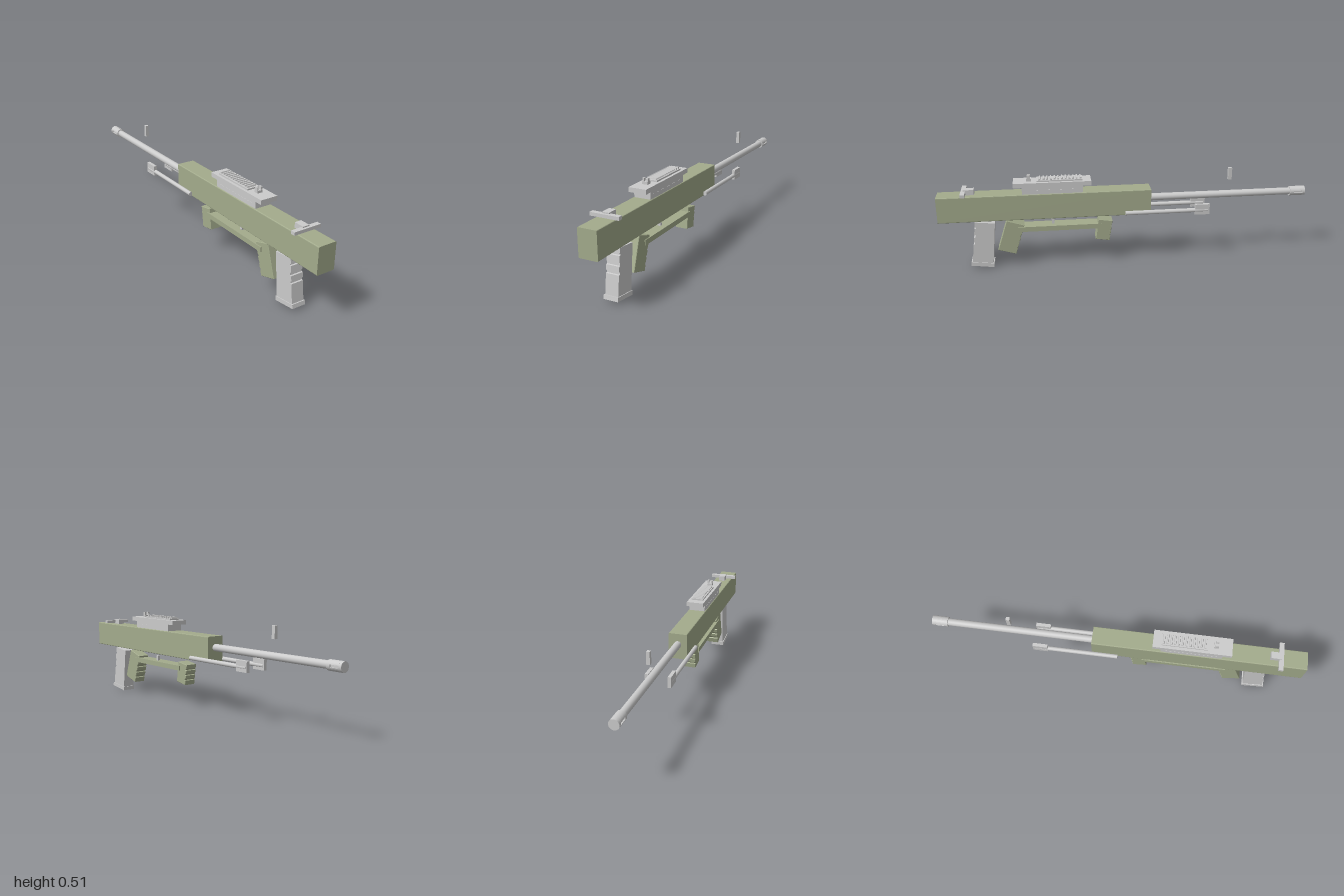
import * as THREE from 'three';

const grey = new THREE.MeshStandardMaterial({ color: 0xcccccc, flatShading: true });
const green = new THREE.MeshStandardMaterial({ color: 0xa3ab8c, flatShading: true });
const smoothGrey = new THREE.MeshStandardMaterial({ color: 0xcccccc });

export function createModel() {
  const model = new THREE.Group();

  function add(name, geometry, material, parent = model) {
    const mesh = new THREE.Mesh(geometry, material);
    mesh.name = name;
    parent.add(mesh);
    return mesh;
  }
  function group(name) {
    const g = new THREE.Group();
    g.name = name;
    model.add(g);
    return g;
  }
  // Box given by its limits on each axis
  function box(name, [x0, x1], [y0, y1], [z0, z1], material, parent) {
    const mesh = add(name, new THREE.BoxGeometry(x1 - x0, y1 - y0, z1 - z0), material, parent);
    mesh.position.set((x0 + x1) / 2, (y0 + y1) / 2, (z0 + z1) / 2);
    return mesh;
  }
  // Side profile of (z, y) points, extruded symmetrically across x
  function profile(name, points, halfWidth, material, parent, bevel = 0) {
    const shape = new THREE.Shape(points.map(([z, y]) => new THREE.Vector2(z, y)));
    const depth = 2 * (halfWidth - bevel);
    const geometry = new THREE.ExtrudeGeometry(shape, {
      depth, bevelEnabled: bevel > 0, bevelSize: bevel, bevelThickness: bevel, bevelOffset: -bevel, bevelSegments: 1,
    });
    geometry.translate(0, 0, -depth / 2).rotateY(-Math.PI / 2);
    return add(name, geometry, material, parent);
  }
  // Cylinder along z
  function rod(name, radius, x, y, z0, z1, parent) {
    const geometry = new THREE.CylinderGeometry(radius, radius, z1 - z0, 24).rotateX(Math.PI / 2);
    const mesh = add(name, geometry, smoothGrey, parent);
    mesh.position.set(x, y, (z0 + z1) / 2);
    return mesh;
  }

  // Long receiver with softened lengthwise edges
  const section = new THREE.Shape();
  const w = 0.05, bottom = 0.274, top = 0.415, r = 0.005;
  section.moveTo(-w + r, bottom).lineTo(w - r, bottom).quadraticCurveTo(w, bottom, w, bottom + r);
  section.lineTo(w, top - r).quadraticCurveTo(w, top, w - r, top);
  section.lineTo(-w + r, top).quadraticCurveTo(-w, top, -w, top - r);
  section.lineTo(-w, bottom + r).quadraticCurveTo(-w, bottom, -w + r, bottom);
  const body = new THREE.ExtrudeGeometry(section, { depth: 1.13, bevelEnabled: false, curveSegments: 3 });
  add('receiver', body.translate(0, 0, -0.13), green);

  // Barrel and slotted muzzle
  const barrelY = 0.355;
  rod('barrel', 0.0195, 0, barrelY, -0.93, -0.12);
  const muzzle = group('muzzle');
  const R = 0.026;
  rod('muzzleTip', R, 0, barrelY, -1, -0.985, muzzle);
  rod('muzzleCollar', R, 0, barrelY, -0.935, -0.915, muzzle);
  const slotted = new THREE.Shape();
  const a = 0.24, inner = 0.018, h = R * Math.sin(a);
  slotted.absarc(0, 0, R, a, Math.PI - a, false);
  slotted.lineTo(-inner, h).lineTo(-inner, -h);
  slotted.absarc(0, 0, R, Math.PI + a, 2 * Math.PI - a, false);
  slotted.lineTo(inner, -h).lineTo(inner, h);
  const sleeve = new THREE.ExtrudeGeometry(slotted, { depth: 0.05, bevelEnabled: false, curveSegments: 12 });
  add('muzzleSleeve', sleeve, smoothGrey, muzzle).position.set(0, barrelY, -0.985);

  // Stepped top rail with cross ridges
  const rail = group('topRail');
  box('railFoot', [-0.046, 0.046], [0.405, 0.437], [0.26, 0.53], grey, rail);
  box('railBlock', [-0.045, 0.045], [0.415, 0.455], [0.235, 0.555], grey, rail);
  box('railPlate', [-0.048, 0.048], [0.453, 0.477], [0.19, 0.6], grey, rail);
  box('ridgeBase', [-0.033, 0.033], [0.476, 0.485], [0.235, 0.475], grey, rail);
  const ridges = 12;
  for (let i = 0; i < ridges; i++) {
    const z = 0.24 + i * 0.0195;
    profile('ridge', [[z, 0.484], [z + 0.011, 0.484], [z + 0.009, 0.493], [z + 0.002, 0.493]], 0.026, grey, rail);
  }

  // Notched rear sight and separate front sight post
  const sight = group('rearSight');
  box('sightBase', [-0.015, 0.015], [0.476, 0.49], [0.505, 0.53], grey, sight);
  for (const s of [-1, 1]) {
    box('sightEar', [s * 0.011 - 0.004, s * 0.011 + 0.004], [0.48, 0.507], [0.51, 0.527], grey, sight);
  }
  box('frontSight', [-0.009, 0.009], [0.439, 0.505], [-0.58, -0.56], grey);

  // T-shaped charging handle
  const handle = group('chargingHandle');
  box('handleStem', [-0.018, 0.018], [0.414, 0.443], [0.805, 0.86], grey, handle);
  box('handleBar', [-0.076, 0.076], [0.42, 0.437], [0.848, 0.872], grey, handle);

  // Folded bipod legs with flat feet
  for (const s of [-1, 1]) {
    const leg = group(s > 0 ? 'leftBipodLeg' : 'rightBipodLeg');
    rod('legRod', 0.0115, s * 0.058, 0.289, -0.44, 0.01, leg);
    const foot = box('foot', [-0.009, 0.009], [0.265, 0.323], [-0.45, -0.37], grey, leg);
    foot.position.x = s * 0.059;
  }

  // Slanted magazine with shallow rear grooves and a wider base
  const magazine = group('magazine');
  const magBack = (y, inset = 0) => [0.812 + (0.264 - y) * 0.125 - inset, y];
  const magPoints = [[0.707, 0.255], [0.732, 0.012], magBack(0.03)];
  for (const [y0, y1] of [[0.137, 0.152], [0.178, 0.195], [0.228, 0.238]]) {
    magPoints.push(magBack(y0), magBack(y0 + 0.002, 0.007), magBack(y1 - 0.002, 0.007), magBack(y1));
  }
  magPoints.push(magBack(0.266));
  profile('magazineBody', magPoints, 0.035, grey, magazine);
  profile('magazineBase', [[0.726, 0.022], [0.728, 0], [0.851, 0.016], [0.847, 0.037]], 0.039, grey, magazine);

  // Front edge of a grip, running top to bottom, with finger notches
  function gripPoints([z0, y0], [z1, y1], back, count, depth) {
    const points = [[z0, y0]];
    const at = (t, d) => [z0 + (z1 - z0) * t + d, y0 + (y1 - y0) * t];
    for (let i = 0; i < count; i++) {
      const t = (i + 1) / (count + 1);
      points.push(at(t - 0.06, 0), at(t, depth), at(t + 0.03, 0));
    }
    return [...points, [z1, y1], ...back];
  }
  const grips = group('grips');
  profile('pistolGrip', gripPoints([0.552, 0.237], [0.605, 0.07], [[0.7, 0.098], [0.645, 0.266]], 4, 0.006),
    0.034, green, grips, 0.002);
  profile('foregrip', gripPoints([0.078, 0.238], [0.095, 0.123], [[0.171, 0.135], [0.154, 0.25]], 3, 0.006),
    0.034, green, grips, 0.002);
  box('gripBar', [-0.039, 0.039], [0.2, 0.227], [0.14, 0.6], green, grips);

  // Trigger
  box('trigger', [-0.008, 0.008], [0.226, 0.256], [0.392, 0.406], grey);

  return model;
}
